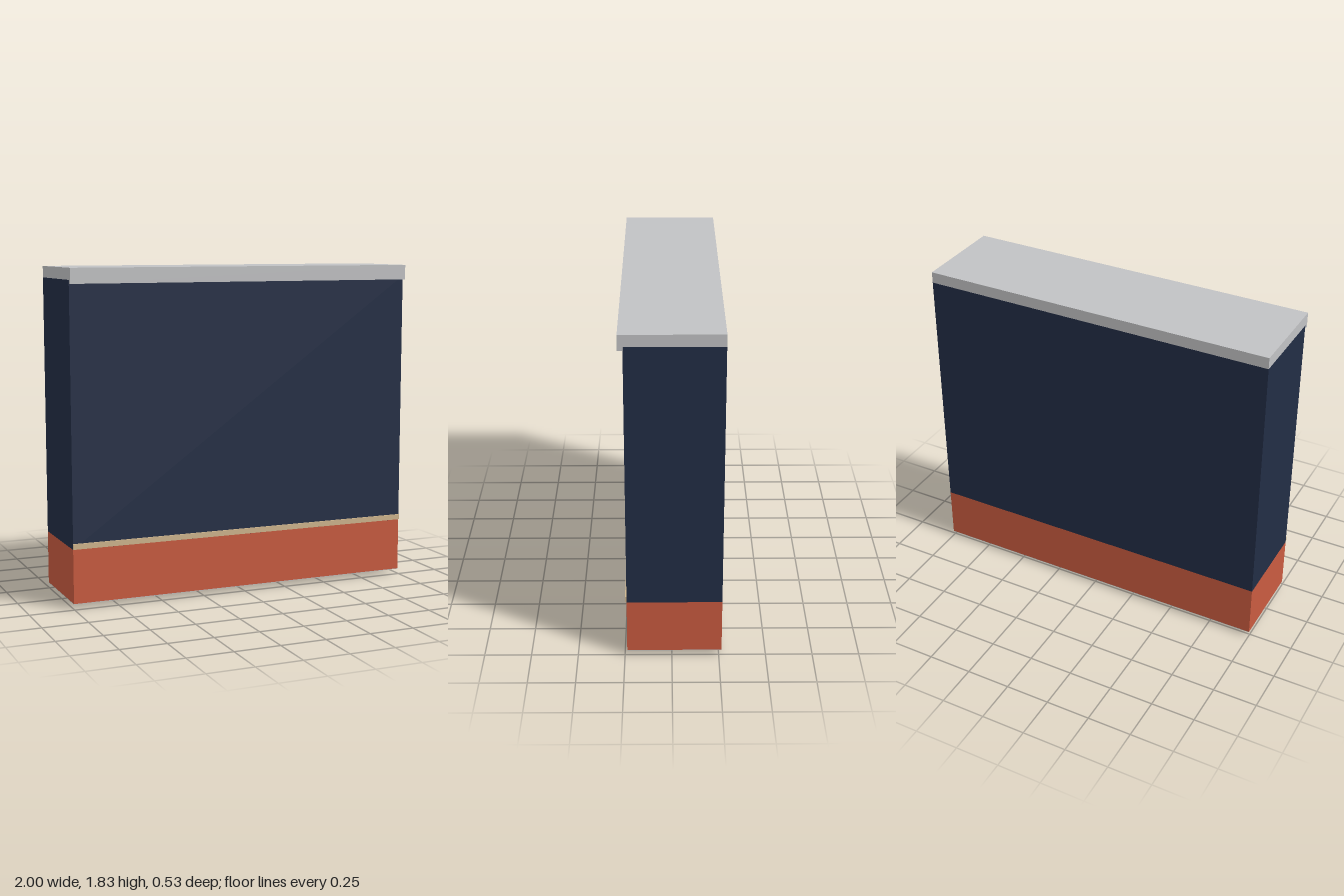
import * as THREE from 'three';

const material = (name, color) => {
  const m = new THREE.MeshStandardMaterial({ color });
  m.name = name;
  return m;
};

export function createModel() {
  const grey = material('light grey', 0xc1c2c4);
  const navy = material('navy', 0x222d45);
  const orange = material('burnt orange', 0xc95b40);
  const tan = material('tan', 0xcfb68e);

  const model = new THREE.Group();
  model.name = 'panelBlock';

  const add = (name, geometry, mat) => {
    const mesh = new THREE.Mesh(geometry, mat);
    mesh.name = name;
    model.add(mesh);
    return mesh;
  };

  // Full-width slab between two heights and two depths
  const slab = (name, y0, y1, z0, z1, mat) => {
    const mesh = add(name, new THREE.BoxGeometry(2, y1 - y0, z1 - z0), mat);
    mesh.position.set(0, (y0 + y1) / 2, (z0 + z1) / 2);
  };

  // Main body: coloured band, wall and grey underside
  slab('underside', 0.027, 0.03, -0.265, 0.238, grey);
  slab('lowerBand', 0.03, 0.328, -0.265, 0.238, orange);
  slab('wall', 0.328, 1.765, -0.265, 0.238, navy);
  slab('trimStrip', 0.33, 0.36, 0.238, 0.246, tan);

  // Cap with a lip hanging over the front, extruded across the width
  const profile = new THREE.Shape([
    [-0.265, 1.765], [0.24, 1.765], [0.24, 1.745],
    [0.265, 1.745], [0.265, 1.828], [-0.265, 1.828],
  ].map(([z, y]) => new THREE.Vector2(-z, y)));
  const cap = new THREE.ExtrudeGeometry(profile, { depth: 2, bevelEnabled: false });
  cap.rotateY(Math.PI / 2).translate(-1, 0, 0);
  add('cap', cap, grey);

  // Round fitting below: stepped metal collar and tan disc
  const disc = (name, radius, y0, y1, mat) => {
    const mesh = add(name, new THREE.CylinderGeometry(radius, radius, y1 - y0, 32), mat);
    mesh.position.y = (y0 + y1) / 2;
  };
  disc('fittingFlange', 0.114, 0.013, 0.027, grey);
  disc('fittingNeck', 0.092, 0.004, 0.013, grey);
  disc('fittingDisc', 0.088, 0, 0.004, tan);

  return model;
}
